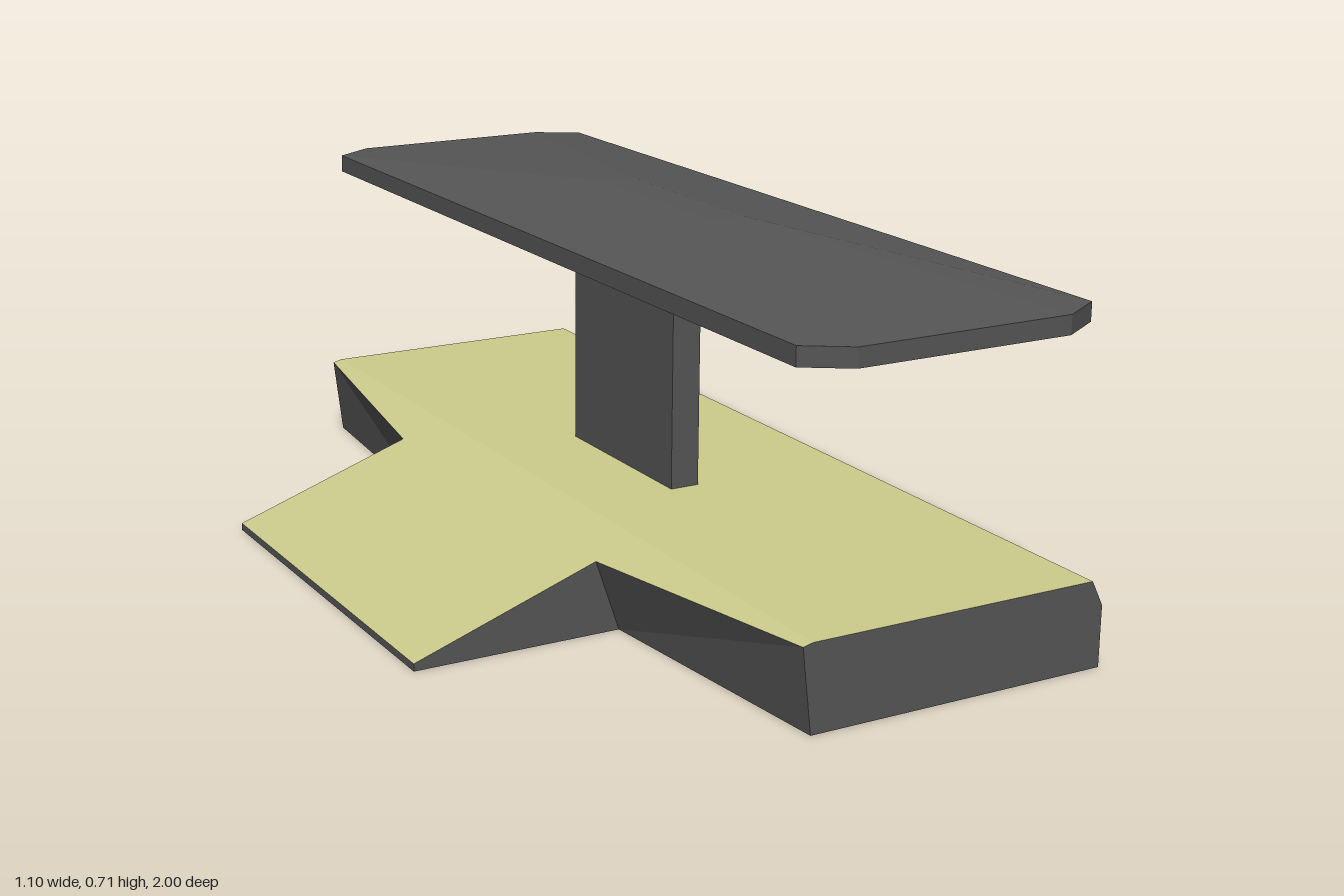
import * as THREE from 'three';

const grey = new THREE.MeshStandardMaterial({ color: 0x555555 });
grey.name = 'dark grey';
const yellow = new THREE.MeshStandardMaterial({ color: 0xcccb8c });
yellow.name = 'pale yellow';

// Flat-shaded mesh from convex polygons, each turned to face away from an inner point
function facetMesh(name, polygons, inside, material) {
  const positions = [];
  const centre = new THREE.Vector3(...inside);
  for (const polygon of polygons) {
    const p = polygon.map((v) => new THREE.Vector3(...v));
    for (let i = 1; i < p.length - 1; i++) {
      let [a, b, c] = [p[0], p[i], p[i + 1]];
      const n = b.clone().sub(a).cross(c.clone().sub(a));
      if (n.length() < 1e-8) continue;
      if (n.dot(a.clone().sub(centre)) < 0) [b, c] = [c, b];
      positions.push(...a.toArray(), ...b.toArray(), ...c.toArray());
    }
  }
  const geometry = new THREE.BufferGeometry();
  geometry.setAttribute('position', new THREE.Float32BufferAttribute(positions, 3));
  geometry.computeVertexNormals();
  const mesh = new THREE.Mesh(geometry, material);
  mesh.name = name;
  return mesh;
}

// A polygon spanning both sides: points [x, y, z] on +z, mirrored back along -z
const across = (...pts) => [...pts, ...pts.map(([x, y, z]) => [x, y, -z]).reverse()];

function createBase() {
  const group = new THREE.Group();
  group.name = 'base';
  const inside = [0, 0.06, 0];
  const w = 0.43; // ramp half width

  // Base corners on the +z side
  const toeLow = [-0.55, 0, w], toeTop = [-0.55, 0.015, w];
  const innerLow = [-0.125, 0, w], innerTop = [-0.175, 0.145, w];
  const outerLow = [-0.075, 0, 1], outerTop = [-0.095, 0.165, 1];
  const deckFront = [-0.075, 0.17, 1], deckBack = [0.525, 0.17, 1];
  const backTop = [0.55, 0.12, 1], backLow = [0.55, 0, 1];

  // Walls, chamfer and underside
  const walls = [
    across(toeLow, toeTop),
    across(deckBack, backTop),
    across(backTop, backLow),
    across(toeLow, innerLow),
    across(innerLow, outerLow, backLow),
  ];
  for (const s of [1, -1]) {
    const side = [
      [toeLow, innerLow, innerTop, toeTop],
      [innerLow, outerLow, outerTop, innerTop],
      [outerLow, backLow, backTop, deckBack, deckFront, outerTop],
    ];
    for (const face of side) walls.push(face.map(([x, y, z]) => [x, y, z * s]));
  }
  group.add(facetMesh('baseBody', walls, inside, grey));

  // Ramp, bevel and deck surfaces
  const tops = [
    across(toeTop, innerTop),
    across(innerTop, outerTop, deckFront),
    across(deckFront, deckBack),
  ];
  group.add(facetMesh('baseDeck', tops, inside, yellow));
  return group;
}

function createRoof() {
  // Clipped rectangle, rising to a small flat top
  const outline = [
    [-0.085, 0.94], [0, 0.995], [0.445, 0.995], [0.535, 0.94],
    [0.535, -0.94], [0.445, -0.995], [0, -0.995], [-0.085, -0.94],
  ];
  const crown = [0.2, 0.2, 0.273, 0.273, 0.273, 0.273, 0.2, 0.2];
  const low = outline.map(([x, z]) => [x, 0.635, z]);
  const rim = outline.map(([x, z]) => [x, 0.672, z]);
  const top = outline.map(([, z], i) => [crown[i], 0.713, Math.sign(z) * 0.22]);
  const faces = [low, top];
  for (let i = 0; i < 8; i++) {
    const j = (i + 1) % 8;
    faces.push([low[i], low[j], rim[j], rim[i]], [rim[i], rim[j], top[j], top[i]]);
  }
  return facetMesh('roof', faces, [0.23, 0.66, 0], grey);
}

export function createModel() {
  const model = new THREE.Group();
  model.name = 'shelteredPlatform';

  // Upright slab between deck and roof
  const post = new THREE.Mesh(new THREE.BoxGeometry(0.062, 0.465, 0.4), grey);
  post.name = 'post';
  post.position.set(0.155, 0.4025, 0);

  model.add(createBase(), post, createRoof());
  return model;
}
